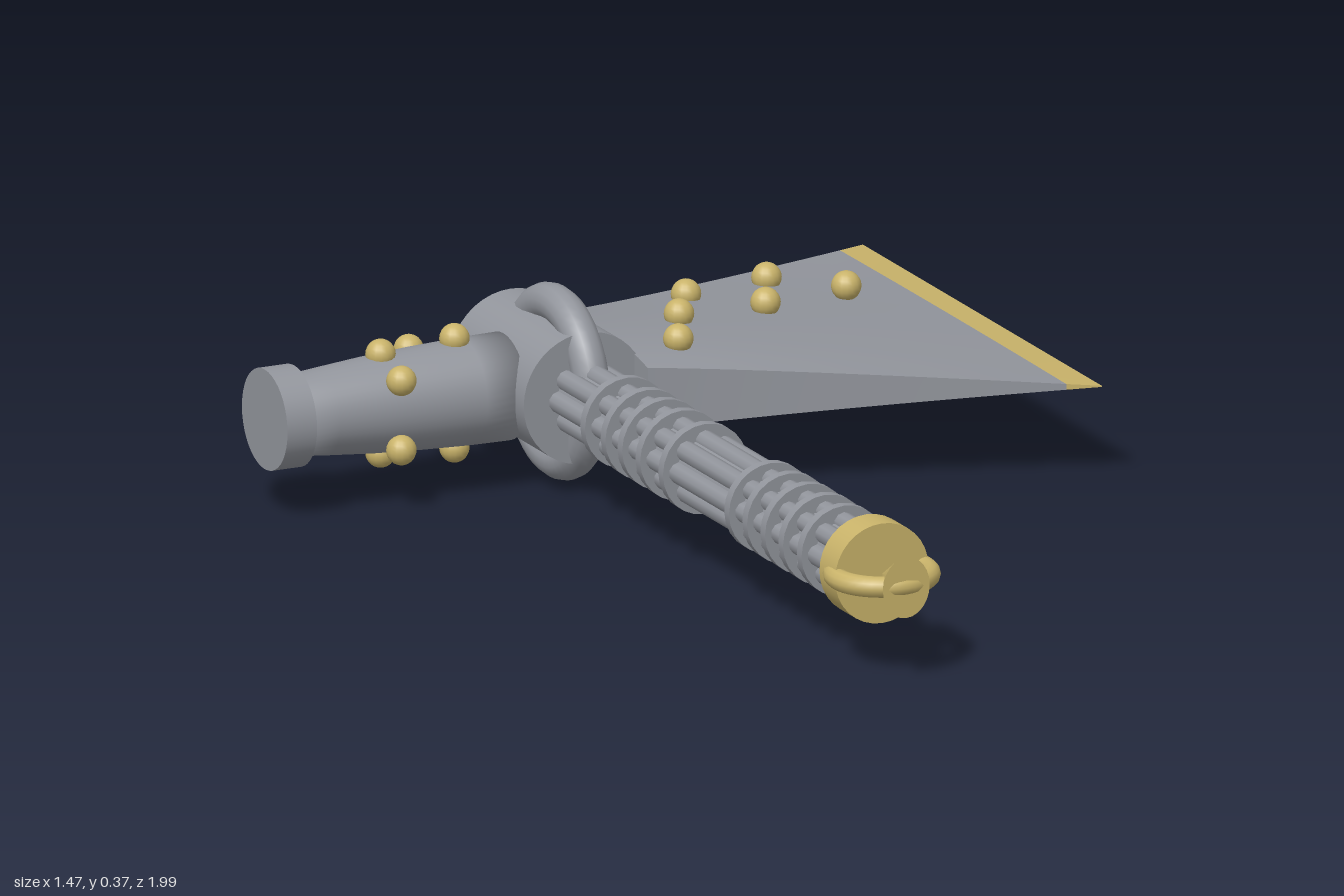
import * as THREE from 'three';

const steel = new THREE.MeshStandardMaterial({ color: 0x92959c });
steel.name = 'steel grey';
const gold = new THREE.MeshStandardMaterial({ color: 0xc9b36a });
gold.name = 'gold';

const AX = -0.15; // handle axis
const AY = 0.188;
const ARM_Z = -0.485;

export function createModel() {
  const model = new THREE.Group();
  model.name = 'axe';

  const add = (name, geo, mat, x, y, z) => {
    const mesh = new THREE.Mesh(geo, mat);
    mesh.name = name;
    mesh.position.set(x, y, z);
    model.add(mesh);
    return mesh;
  };
  // Cylinder lying along z between two stations
  const rodZ = (name, mat, r, z0, z1, sides = 32, x = AX, y = AY) =>
    add(name, new THREE.CylinderGeometry(r, r, z1 - z0, sides).rotateX(Math.PI / 2), mat, x, y, (z0 + z1) / 2);

  // Handle: core with a bundle of rods
  rodZ('handleCore', steel, 0.058, -0.4, 0.84, 16);
  for (let i = 0; i < 8; i++) {
    const a = (i / 8) * Math.PI * 2;
    rodZ('handleRod', steel, 0.02, -0.4, 0.83, 10, AX + 0.054 * Math.cos(a), AY + 0.054 * Math.sin(a));
  }
  for (const z of [-0.185, -0.1, -0.03, 0.045, 0.14, 0.415, 0.49, 0.565, 0.64, 0.717]) {
    rodZ('handleBand', steel, 0.086, z - 0.01, z + 0.01, 24);
  }

  // Pommel: collar, loop and flared spike
  rodZ('pommelCollar', gold, 0.095, 0.82, 0.885);
  add('pommelLoop', new THREE.TorusGeometry(0.088, 0.02, 12, 40).rotateX(Math.PI / 2), gold, AX, AY, 0.885);
  add('pommelSpike', new THREE.ConeGeometry(0.058, 0.1, 24).rotateX(-Math.PI / 2).scale(0.82, 1, 1), gold, AX, AY, 0.937);

  // Socket with the upright ring around it
  rodZ('socket', steel, 0.125, -0.66, -0.35, 40);
  add('socketRing', new THREE.TorusGeometry(0.148, 0.035, 14, 48).rotateY(Math.PI / 2), steel, AX, AY, -0.47);

  // Hammer arm and its end cap
  const armProfile = [[0, -0.25], [0.1, -0.25], [0.099, -0.33], [0.095, -0.43], [0.089, -0.53], [0.081, -0.62], [0.074, -0.69], [0, -0.69]];
  const arm = new THREE.LatheGeometry(armProfile.map(([r, x]) => new THREE.Vector2(r, -x)), 40);
  add('hammerArm', arm.rotateZ(Math.PI / 2), steel, 0, AY, ARM_Z);
  add('hammerCap', new THREE.CylinderGeometry(0.095, 0.095, 0.06, 40).rotateZ(Math.PI / 2), steel, -0.705, AY, ARM_Z);

  // Blade: flaring in plan, thinning to a sharp edge
  const bladePoint = (t, u, s) => {
    const flare = Math.pow(t, 1.15);
    const half = 0.195 + 0.303 * flare;
    const thick = (0.058 + 0.024 * (1 - u * u)) * (1 - t) + 0.001;
    return [-0.05 + 0.78 * t, AY + s * thick, -0.49 - 0.011 * t + u * half];
  };
  // Grid surface facing du x dv
  const surface = (fn, nu, nv) => {
    const pos = [], index = [];
    for (let i = 0; i <= nu; i++) for (let j = 0; j <= nv; j++) pos.push(...fn(i / nu, j / nv));
    for (let i = 0; i < nu; i++) {
      for (let j = 0; j < nv; j++) {
        const a = i * (nv + 1) + j, b = a + nv + 1;
        index.push(a, b, b + 1, a, b + 1, a + 1);
      }
    }
    const geo = new THREE.BufferGeometry();
    geo.setAttribute('position', new THREE.Float32BufferAttribute(pos, 3));
    geo.setIndex(index);
    geo.computeVertexNormals();
    return geo;
  };
  const bladePart = (name, mat, t0, t1, n) => {
    const T = (u) => t0 + (t1 - t0) * u;
    add(name + 'Top', surface((u, v) => bladePoint(T(u), 1 - 2 * v, 1), n, 10), mat, 0, 0, 0);
    add(name + 'Bottom', surface((u, v) => bladePoint(T(u), 2 * v - 1, -1), n, 10), mat, 0, 0, 0);
    add(name + 'FrontSide', surface((u, v) => bladePoint(T(u), 1, 2 * v - 1), n, 1), mat, 0, 0, 0);
    add(name + 'BackSide', surface((u, v) => bladePoint(T(u), -1, 1 - 2 * v), n, 1), mat, 0, 0, 0);
  };
  bladePart('blade', steel, 0, 0.923, 12);
  bladePart('cuttingEdge', gold, 0.923, 1, 2);
  add('bladeRoot', surface((u, v) => bladePoint(0, 2 * u - 1, 2 * v - 1), 10, 1), steel, 0, 0, 0);
  add('bladeTip', surface((u, v) => bladePoint(1, 1 - 2 * u, 2 * v - 1), 1, 1), gold, 0, 0, 0);

  // Studs, mirrored above and below: x, height from the axis, z
  const studs = [
    [0.05, 0.081, -0.373], [0.125, 0.078, -0.524], [0.225, 0.055, -0.7],
    [0.325, 0.06, -0.574], [0.425, 0.04, -0.775], [0.525, 0.045, -0.648],
    [-0.5, 0.094, ARM_Z], [-0.35, 0.104, ARM_Z], [-0.5, 0.066, -0.398], [-0.4, 0.066, -0.573],
  ];
  const studGeo = new THREE.SphereGeometry(0.028, 16, 12);
  for (const [x, h, z] of studs) for (const s of [1, -1]) add('stud', studGeo, gold, x, AY + s * h, z);

  return model;
}
